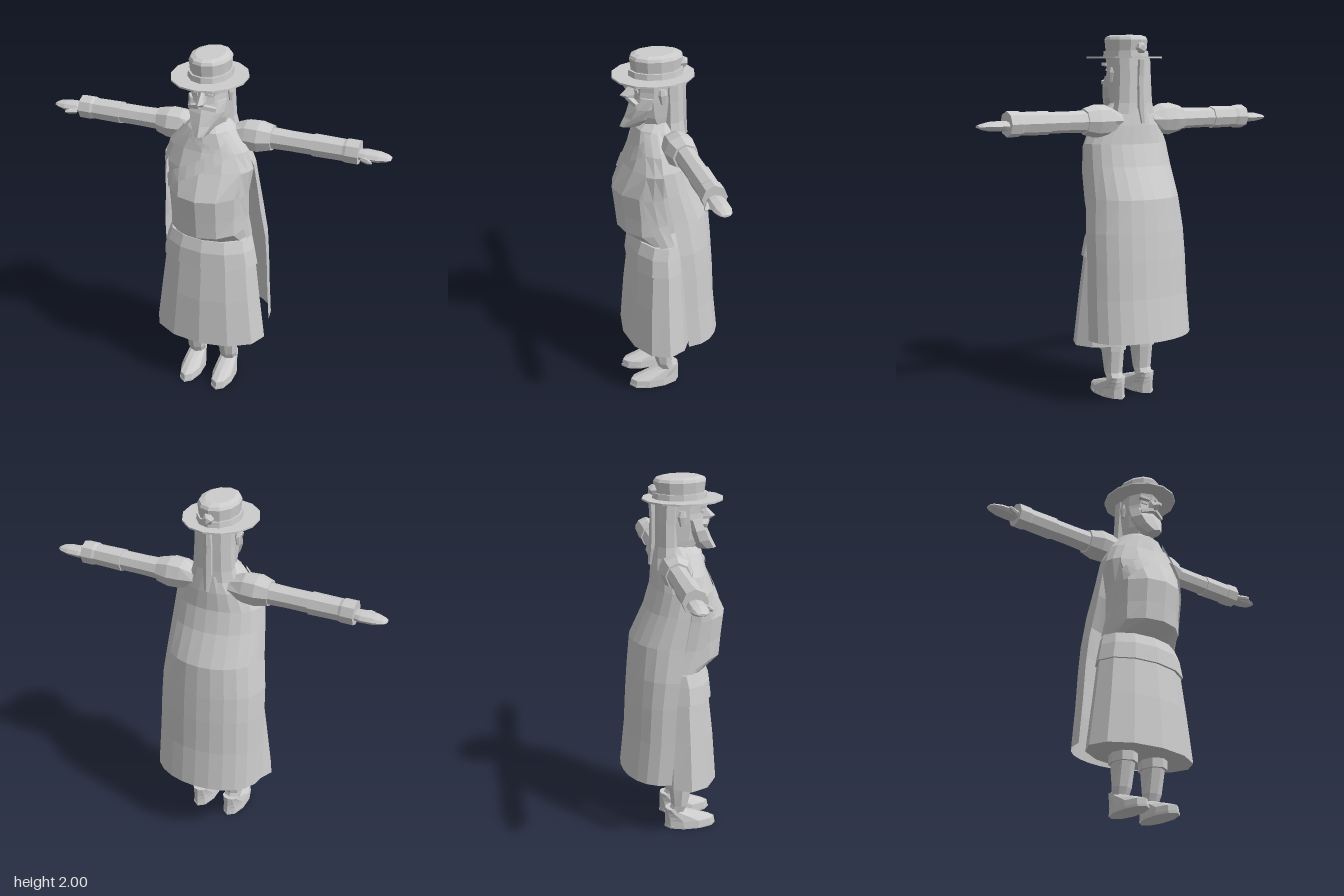
import * as THREE from 'three';

const grey = new THREE.MeshStandardMaterial({ color: 0xcccccc, flatShading: true, side: THREE.DoubleSide });
grey.name = 'plain grey';

// Row = [y, half width, back z, front z]; gives a point on that oval at angle t (0 = front)
const ovalPoint = ([y, w, zb, zf], t, grow = 0) => [
  (w + grow) * Math.sin(t), y, (zb + zf) / 2 + ((zf - zb) / 2 + grow) * Math.cos(t)];

// Skin a list of point rings; closed rings also get end caps
function skin(rings, closed) {
  const n = rings[0].length, pos = [], index = [];
  rings.forEach(r => r.forEach(p => pos.push(...p)));
  const cols = closed ? n : n - 1;
  for (let i = 0; i < rings.length - 1; i++) {
    for (let j = 0; j < cols; j++) {
      const k = (j + 1) % n, a = i * n, b = a + n;
      index.push(a + j, a + k, b + k, a + j, b + k, b + j);
    }
  }
  if (closed) {
    const top = (rings.length - 1) * n;
    for (let j = 1; j < n - 1; j++) index.push(0, j + 1, j, top, top + j, top + j + 1);
  }
  const g = new THREE.BufferGeometry();
  g.setAttribute('position', new THREE.Float32BufferAttribute(pos, 3));
  g.setIndex(index);
  const flat = g.toNonIndexed();
  flat.computeVertexNormals();
  return flat;
}

const loft = (rows, n = 10) => skin(rows.map(r =>
  Array.from({ length: n }, (_, j) => ovalPoint(r, j / n * Math.PI * 2))), true);

function add(parent, name, geometry, x = 0, y = 0, z = 0) {
  const m = new THREE.Mesh(geometry, grey);
  m.name = name;
  m.position.set(x, y, z);
  parent.add(m);
  return m;
}

const TORSO = [
  [0.95, 0.22, -0.1, 0.16], [1.03, 0.205, -0.1, 0.27], [1.13, 0.205, -0.12, 0.28],
  [1.26, 0.21, -0.12, 0.295], [1.4, 0.235, -0.1, 0.23], [1.5, 0.21, -0.1, 0.19],
  [1.6, 0.13, -0.085, 0.165], [1.64, 0.09, -0.07, 0.12]];

function torsoRow(y) {
  const i = Math.max(0, TORSO.findIndex((r, k) => k < TORSO.length - 1 && y <= TORSO[k + 1][0]));
  const a = TORSO[i], b = TORSO[i + 1], f = (y - a[0]) / (b[0] - a[0]);
  return a.map((v, k) => v + (b[k] - v) * f);
}

// Cloth strip lying on the torso between [y, angle] ends
function strip([y0, t0], [y1, t1], width, steps = 10) {
  return skin([0, width].map(d => Array.from({ length: steps + 1 }, (_, i) => {
    const f = i / steps;
    return ovalPoint(torsoRow(y0 + (y1 - y0) * f + d), t0 + (t1 - t0) * f, 0.006);
  })), false);
}

function addHead(parent) {
  const head = new THREE.Group();
  head.name = 'head';
  parent.add(head);
  add(head, 'face', loft([[1.56, 0.085, -0.07, 0.1], [1.67, 0.095, -0.08, 0.16],
    [1.76, 0.1, -0.085, 0.18], [1.81, 0.1, -0.085, 0.17], [1.885, 0.1, -0.09, 0.185]]));
  add(head, 'hair', loft([[1.58, 0.13, -0.1, 0.05], [1.64, 0.115, -0.095, 0.05],
    [1.76, 0.108, -0.093, 0.05], [1.88, 0.106, -0.09, 0.06]]));
  add(head, 'beard', loft([[1.61, 0.035, 0.13, 0.245], [1.66, 0.075, 0.06, 0.22],
    [1.72, 0.1, 0.04, 0.195], [1.78, 0.104, 0.03, 0.165]], 8));
  add(head, 'nose', loft([[1.765, 0.02, 0.14, 0.215], [1.782, 0.022, 0.14, 0.24],
    [1.835, 0.01, 0.14, 0.185]], 6));
  for (const s of [-1, 1]) {
    const moustache = add(head, 'moustache', new THREE.BoxGeometry(0.075, 0.02, 0.03), s * 0.036, 1.753, 0.178);
    moustache.rotation.set(0, s * 0.4, -s * 0.25);
    const brow = add(head, 'eyebrow', new THREE.BoxGeometry(0.06, 0.016, 0.03), s * 0.045, 1.84, 0.165);
    brow.rotation.set(0, s * 0.3, s * 0.15);
    add(head, 'eye', new THREE.BoxGeometry(0.03, 0.013, 0.009), s * 0.042, 1.813, 0.162).rotation.y = s * 0.3;
    add(head, 'ear', loft([[1.75, 0.008, 0.03, 0.05], [1.8, 0.014, 0.015, 0.065], [1.83, 0.008, 0.025, 0.06]], 6), s * 0.105);
  }
  // Tied hair at the back
  add(head, 'hairKnot', new THREE.IcosahedronGeometry(0.032, 0), 0, 1.93, -0.095);
  add(head, 'ponytail', loft([[1.53, 0.012, -0.125, -0.1], [1.62, 0.026, -0.12, -0.08],
    [1.78, 0.025, -0.115, -0.08], [1.87, 0.02, -0.12, -0.08]], 6));
  add(head, 'hatBrim', loft([[1.876, 0.2, -0.155, 0.28], [1.885, 0.2, -0.155, 0.28]], 14));
  add(head, 'hatBand', loft([[1.885, 0.115, -0.1, 0.195], [1.915, 0.112, -0.097, 0.192]], 12));
  add(head, 'hatCrown', loft([[1.885, 0.103, -0.088, 0.18], [1.92, 0.103, -0.088, 0.18],
    [1.975, 0.108, -0.095, 0.188], [1.99, 0.1, -0.085, 0.18], [2, 0.075, -0.05, 0.155]], 12));
}

function addArm(parent, s) {
  // Lofted upright, then laid out sideways
  const arm = new THREE.Group();
  arm.name = s > 0 ? 'leftArm' : 'rightArm';
  arm.position.y = 1.545;
  arm.rotation.z = -s * Math.PI / 2;
  parent.add(arm);
  add(arm, 'shoulder', loft([[0.1, 0.05, -0.08, 0.06], [0.18, 0.085, -0.095, 0.07],
    [0.25, 0.088, -0.1, 0.075], [0.32, 0.07, -0.085, 0.05]], 8));
  add(arm, 'upperSleeve', loft([[0.29, 0.06, -0.08, 0.04], [0.42, 0.056, -0.075, 0.037],
    [0.56, 0.056, -0.075, 0.037]], 8));
  add(arm, 'lowerSleeve', loft([[0.54, 0.062, -0.082, 0.042], [0.7, 0.06, -0.078, 0.04],
    [0.715, 0.066, -0.083, 0.045], [0.78, 0.066, -0.083, 0.045]], 8));
  add(arm, 'hand', loft([[0.76, 0.024, -0.055, 0.02], [0.81, 0.027, -0.07, 0.028],
    [0.88, 0.024, -0.068, 0.026], [0.925, 0.015, -0.055, 0.012], [0.943, 0.006, -0.04, 0]], 8), s * 0.008);
  const thumb = add(arm, 'thumb', loft([[0, 0.014, -0.014, 0.014], [0.045, 0.013, -0.012, 0.012],
    [0.065, 0.005, -0.005, 0.005]], 6), s * 0.015, 0.8, 0.02);
  thumb.rotation.x = 0.5;
}

function addLeg(parent, s) {
  const leg = new THREE.Group();
  leg.name = s > 0 ? 'leftLeg' : 'rightLeg';
  leg.position.x = s * 0.098;
  parent.add(leg);
  add(leg, 'shoeSole', loft([[0, 0.064, -0.055, 0.24], [0.012, 0.064, -0.055, 0.24]], 10));
  add(leg, 'shoe', loft([[0.012, 0.063, -0.053, 0.237], [0.045, 0.06, -0.053, 0.232],
    [0.07, 0.055, -0.052, 0.16], [0.095, 0.05, -0.052, 0.08], [0.12, 0.045, -0.05, 0.02]], 10));
  add(leg, 'lowerLeg', loft([[0.09, 0.045, -0.04, 0.06], [0.14, 0.055, -0.015, 0.08],
    [0.28, 0.06, -0.035, 0.115]], 8));
  add(leg, 'trouserBand', loft([[0.27, 0.07, -0.045, 0.13], [0.36, 0.07, -0.045, 0.13]], 8));
}

export function createModel() {
  const model = new THREE.Group();
  model.name = 'figure';

  add(model, 'torso', loft(TORSO, 12));
  add(model, 'skirt', loft([[0.32, 0.327, -0.13, 0.25], [0.6, 0.29, -0.115, 0.23],
    [0.82, 0.262, -0.1, 0.205]], 12));
  add(model, 'tunicFlap', loft([[0.805, 0.275, -0.105, 0.22], [0.9, 0.255, -0.1, 0.21],
    [0.965, 0.235, -0.1, 0.185]], 12));
  add(model, 'sash', strip([1.49, 0.75], [1.23, -1.35], 0.07));
  add(model, 'neckFold', strip([1.57, -0.55], [1.46, 1.0], 0.025));

  // Open cape: [y, half width, edge z, back z]
  const cape = [[0.365, 0.315, -0.05, -0.29], [0.6, 0.308, -0.03, -0.265], [0.8, 0.302, -0.02, -0.255],
    [0.95, 0.297, 0, -0.245], [1.13, 0.275, 0.03, -0.23], [1.3, 0.262, 0.06, -0.15],
    [1.42, 0.25, 0.08, -0.115], [1.52, 0.2, 0.08, -0.11], [1.61, 0.115, 0.07, -0.1]];
  const folds = 12;
  add(model, 'cape', skin(cape.map(([y, w, ze, zb]) => Array.from({ length: folds + 1 }, (_, j) => {
    const a = (0.5 - j / folds) * Math.PI;
    return [-w * Math.sin(a), y, ze + (zb - ze) * Math.pow(Math.max(0, Math.cos(a)), 0.85)];
  }).reverse()), false));

  addHead(model);
  for (const s of [-1, 1]) {
    addArm(model, s);
    addLeg(model, s);
    // Coat edge running from the collar down the side of the chest
    add(model, 'coatEdge', skin([[1.6, 0.75], [1.5, 0.85], [1.4, 1.0], [1.26, 1.15], [1.1, 1.25], [0.97, 1.3]]
      .map(([y, t]) => [0, 0.25, 0.5].map(d => ovalPoint(torsoRow(y), s * (t + d), 0.014))), false));
  }
  return model;
}
